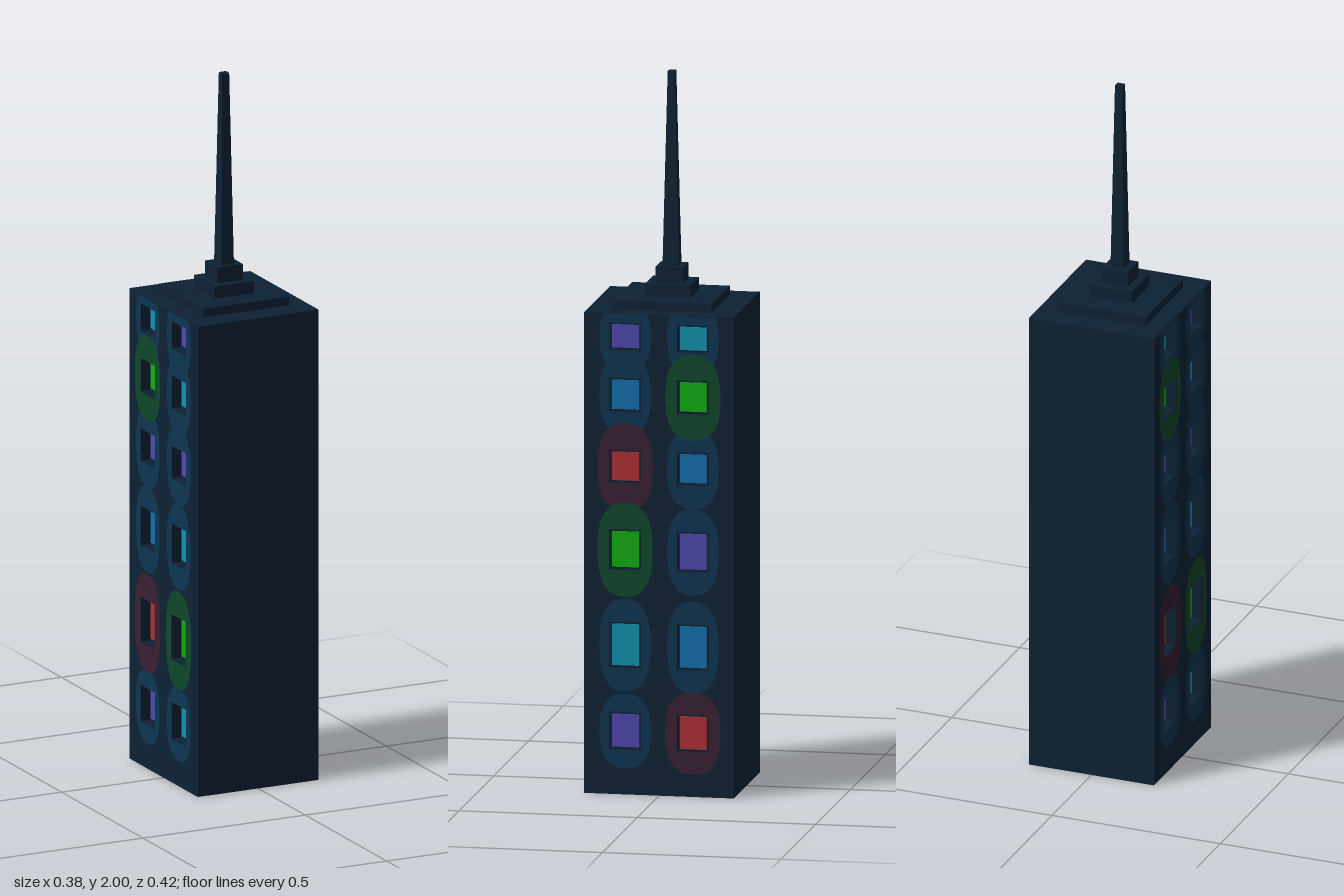
import * as THREE from 'three';

const mat = (name, color, opts = {}) => {
  const m = new THREE.MeshStandardMaterial({ color, ...opts });
  m.name = name;
  return m;
};

const HALF_X = 0.186, HALF_Z = 0.21, TOP = 1.35, COLUMN = 0.095;
const PANE_W = 0.075, RIM = 0.007;

// window rows from the top: centre height, pane height
const ROWS = [[1.285, 0.065], [1.121, 0.082], [0.92, 0.08], [0.687, 0.1], [0.419, 0.116], [0.178, 0.092]];
// halo half heights per row
const HALO_H = [0.1, 0.11, 0.112, 0.122, 0.13, 0.105];

function rectPoints(u, y, w, h) {
  return [[-1, -1], [1, -1], [1, 1], [-1, 1]].map(([a, b]) => new THREE.Vector2(u + a * w / 2, y + b * h / 2));
}

// rounded glow outline, cut off at the roof edge
function haloShape(u, y, rx, ry) {
  const pts = [];
  for (let i = 0; i < 32; i++) {
    const a = i / 32 * Math.PI * 2, c = Math.cos(a), s = Math.sin(a);
    const px = u + rx * Math.sign(c) * Math.abs(c) ** 0.8;
    const py = y + ry * Math.sign(s) * Math.abs(s) ** 0.8;
    pts.push(new THREE.Vector2(px, Math.min(py, TOP - 0.002)));
  }
  return new THREE.Shape(pts);
}

export function createModel() {
  const model = new THREE.Group();
  model.name = 'tower';

  const navy = mat('navy wall', 0x0d2235);
  const glass = {
    purple: mat('purple glass', 0x4f49b0),
    cyan: mat('cyan glass', 0x1094b0),
    blue: mat('blue glass', 0x1070b0),
    red: mat('red glass', 0xb03038),
    green: mat('green glass', 0x10b010),
  };
  const blueGlow = mat('blue glow', 0x0d3553);
  const glow = {
    purple: blueGlow, cyan: blueGlow, blue: blueGlow,
    red: mat('red glow', 0x3a2033),
    green: mat('green glow', 0x0e482b),
  };

  const add = (parent, name, geometry, material, x = 0, y = 0, z = 0) => {
    const mesh = new THREE.Mesh(geometry, material);
    mesh.name = name;
    mesh.position.set(x, y, z);
    parent.add(mesh);
    return mesh;
  };

  // one window wall, built facing +z and then turned outwards
  function windowWall(name, columns, depth, turn) {
    const wall = new THREE.Group();
    wall.name = name;
    const outline = new THREE.Shape(rectPoints(0, TOP / 2, HALF_Z * 2, TOP));
    columns.forEach((colors, c) => colors.forEach((color, r) => {
      const u = c ? COLUMN : -COLUMN, [y, h] = ROWS[r];
      const hole = () => new THREE.Path(rectPoints(u, y, PANE_W + 2 * RIM, h + 2 * RIM).reverse());
      outline.holes.push(hole());

      // pane at the back of its recess
      add(wall, 'windowPane', new THREE.BoxGeometry(PANE_W, h, 0.004), glass[color], u, y, HALF_X - depth + 0.002);

      // glow painted around the opening; red and green lie over blue
      const strong = color === 'red' || color === 'green';
      const halo = haloShape(u, y, strong ? 0.078 : 0.072, HALO_H[r] + (strong ? 0.01 : 0));
      halo.holes.push(hole());
      add(wall, 'windowGlow', new THREE.ShapeGeometry(halo), glow[color], 0, 0,
        HALF_X + (strong ? 0.0016 : 0.0008) + r * 0.0001);
    }));
    add(wall, 'wallPanel', new THREE.ExtrudeGeometry(outline, { depth, bevelEnabled: false }), navy, 0, 0, HALF_X - depth);
    wall.rotation.y = turn;
    model.add(wall);
  }

  const rightDepth = 0.01, leftDepth = 0.03;
  windowWall('leftSideWall', [
    ['purple', 'blue', 'red', 'green', 'cyan', 'purple'],
    ['cyan', 'green', 'blue', 'purple', 'blue', 'red'],
  ], rightDepth, Math.PI / 2);
  windowWall('rightSideWall', [
    ['cyan', 'green', 'purple', 'blue', 'red', 'purple'],
    ['purple', 'cyan', 'purple', 'cyan', 'green', 'cyan'],
  ], leftDepth, -Math.PI / 2);

  // solid core between the two window walls
  add(model, 'towerCore', new THREE.BoxGeometry(HALF_X * 2 - rightDepth - leftDepth, TOP, HALF_Z * 2), navy,
    (leftDepth - rightDepth) / 2, TOP / 2, 0);

  // stepped roof: half width, half depth, bottom, top
  [[0.131, 0.137, TOP, 1.375], [0.061, 0.064, 1.375, 1.41], [0.039, 0.039, 1.41, 1.455]].forEach(([x, z, y0, y1]) =>
    add(model, 'roofStep', new THREE.BoxGeometry(x * 2, y1 - y0, z * 2), navy, 0, (y0 + y1) / 2, 0));

  // tapered mast
  const mast = new THREE.BoxGeometry(2, 2 - 1.455, 2);
  const p = mast.attributes.position;
  for (let i = 0; i < p.count; i++) {
    const upper = p.getY(i) > 0;
    p.setX(i, p.getX(i) * (upper ? 0.011 : 0.019));
    p.setZ(i, p.getZ(i) * (upper ? 0.01 : 0.023));
  }
  mast.computeVertexNormals();
  add(model, 'mast', mast, navy, 0, (1.455 + 2) / 2, 0);

  return model;
}
